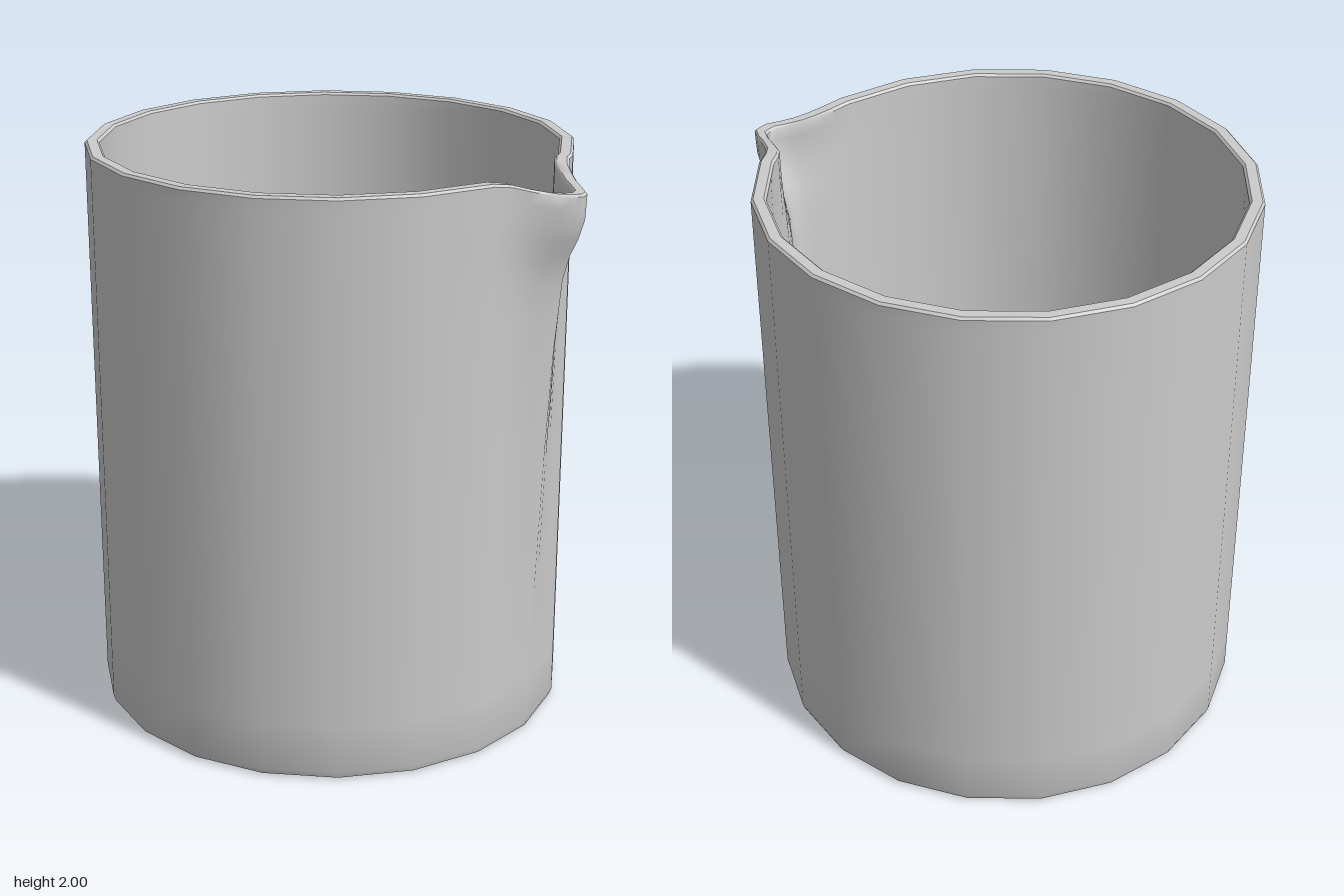
import * as THREE from 'three';
import { toCreasedNormals } from 'three/addons/utils/BufferGeometryUtils.js';

const SIDES = 20, STEP = 360 / SIDES, RADIUS = 0.83, WALL = 0.05;
const CENTRE_X = -0.06, SPOUT_ANGLE = -16.5;

// Linear lookup through [key, value] pairs
function lookup(table, k) {
  if (k <= table[0][0]) return table[0][1];
  for (let i = 1; i < table.length; i++) {
    const [k0, v0] = table[i - 1], [k1, v1] = table[i];
    if (k <= k1) return v0 + (v1 - v0) * (k - k0) / (k1 - k0);
  }
  return table[table.length - 1][1];
}

// How far the spout stands out along its ridge, by height
const RIDGE = [[0.2, 0], [0.5, 0.01], [1, 0.03], [1.4, 0.052], [1.65, 0.076],
  [1.75, 0.1], [1.82, 0.128], [1.9, 0.15], [2, 0.155]];
// Share of that bulge, by degrees away from the ridge
const SPREAD = [[0, 1], [1.6, 0.96], [4, 0.76], [6, 0.56], [8.5, 0.38], [12, 0.16], [16, 0.03], [18, 0]];
// Dip of the rim, by degrees away from the ridge
const DIP = [[0, 0.052], [4, 0.046], [8.5, 0.027], [12, 0.01], [16, 0]];

function createBody() {
  // Corners of the polygon, plus extra columns over the spout
  const angles = [];
  for (let i = 0; i < SIDES; i++) angles.push(i * STEP - 180);
  for (const d of [-16, -12, -8.5, -6, -4, 0, 1.6, 4, 6, 8.5, 12]) angles.push(SPOUT_ANGLE + d);
  angles.sort((a, b) => a - b);

  // Profile: underside, outer wall, rim, inner wall, floor
  const inner = RADIUS - WALL;
  const heights = [0.2, 0.5, 1, 1.4, 1.55, 1.65, 1.7, 1.75, 1.82, 1.9, 1.95];
  const profile = [
    [0, 0], [RADIUS - 0.025, 0], [RADIUS - 0.008, 0.008], [RADIUS, 0.03],
    ...heights.map(y => [RADIUS, y]),
    [RADIUS, 1.992], [RADIUS - 0.008, 2], [inner + 0.008, 2], [inner, 1.992],
    ...heights.slice().reverse().map(y => [inner, y]),
    [inner, 0.08], [inner - 0.01, 0.06], [0, 0.06],
  ];

  const point = (row, col) => {
    const [r, y] = profile[row];
    const a = angles[col % angles.length];
    const fromCorner = ((a % STEP) + STEP) % STEP - STEP / 2;
    const flat = Math.cos(THREE.MathUtils.degToRad(STEP / 2)) / Math.cos(THREE.MathUtils.degToRad(fromCorner));
    const d = Math.abs(a - SPOUT_ANGLE);
    const radius = r * flat + (r > 0 ? lookup(RIDGE, y) * lookup(SPREAD, d) : 0);
    const dip = lookup(DIP, d) * THREE.MathUtils.smoothstep(y, 1.6, 2);
    const t = THREE.MathUtils.degToRad(a);
    return [CENTRE_X + radius * Math.cos(t), y - dip, radius * Math.sin(t)];
  };

  const positions = [];
  for (let j = 0; j < profile.length - 1; j++) {
    for (let i = 0; i < angles.length; i++) {
      const a = point(j, i), b = point(j, i + 1), c = point(j + 1, i), e = point(j + 1, i + 1);
      if (profile[j][0] > 0) positions.push(...a, ...c, ...b);
      if (profile[j + 1][0] > 0) positions.push(...b, ...c, ...e);
    }
  }
  const geometry = new THREE.BufferGeometry();
  geometry.setAttribute('position', new THREE.Float32BufferAttribute(positions, 3));
  return toCreasedNormals(geometry, THREE.MathUtils.degToRad(42));
}

export function createModel() {
  const group = new THREE.Group();
  group.name = 'beaker';
  const body = new THREE.Mesh(createBody(), new THREE.MeshStandardMaterial({ color: 0xcccccc }));
  body.name = 'bodyWithSpout';
  group.add(body);
  return group;
}
